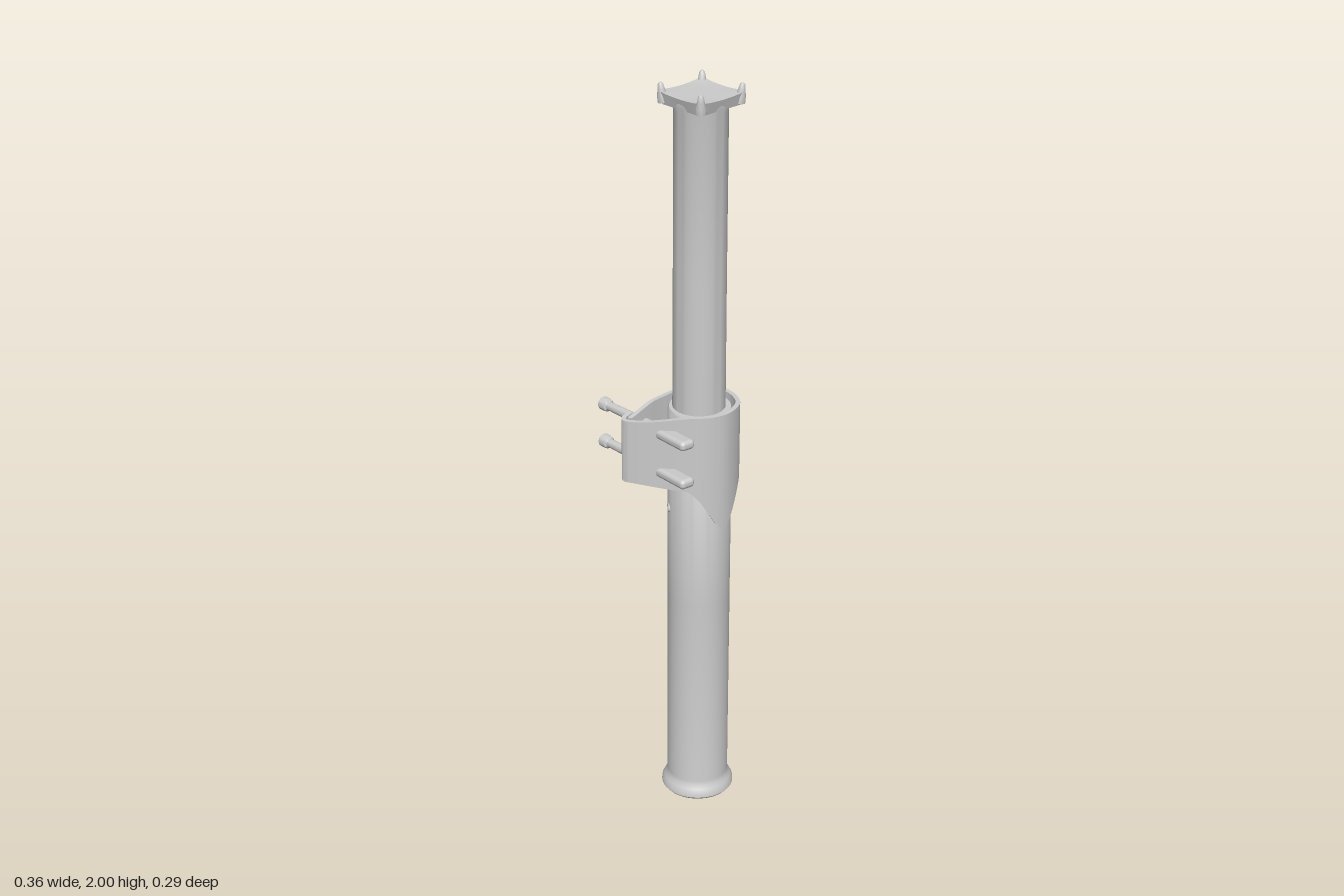
import * as THREE from 'three';
import { toCreasedNormals } from 'three/addons/utils/BufferGeometryUtils.js';
import { RoundedBoxGeometry } from 'three/addons/geometries/RoundedBoxGeometry.js';

const CX = 0.079, CZ = -0.046; // axis of the post
const material = new THREE.MeshStandardMaterial({ color: 0xcccccc });
const doubleSided = new THREE.MeshStandardMaterial({ color: 0xcccccc, side: THREE.DoubleSide });

function add(parent, name, geometry, x = 0, y = 0, z = 0, mat = material) {
  const mesh = new THREE.Mesh(geometry, mat);
  mesh.name = name;
  mesh.position.set(x, y, z);
  parent.add(mesh);
  return mesh;
}

function lathe(profile, segments = 48) {
  const points = profile.map(([r, y]) => new THREE.Vector2(r, y));
  return toCreasedNormals(new THREE.LatheGeometry(points, segments), 0.6);
}

// Smooth 0..1 bump of a given centre and half width
function bump(v, centre, half) {
  const t = Math.max(0, 1 - Math.abs(v - centre) / half);
  return t * t * (3 - 2 * t);
}

// Sheet-metal strap: a rectangular section swept round the post, with hanging tongues
function collarGeometry() {
  const path = [
    [-0.020, 0.102], [-0.018, 0.126], [-0.006, 0.136], [0.02, 0.125], [0.08, 0.085],
    [0.13, 0.042], [0.163, 0.0], [0.174, -0.05], [0.148, -0.113], [0.08, -0.14],
    [0.012, -0.11], [-0.010, -0.05], [-0.010, 0.0], [-0.006, 0.06], [-0.003, 0.122],
  ];
  const curve = new THREE.CatmullRomCurve3(path.map(([x, z]) => new THREE.Vector3(x, 0, z)));
  const n = 160, half = 0.006, rings = [];
  for (let i = 0; i <= n; i++) {
    const p = curve.getPointAt(i / n), t = curve.getTangentAt(i / n);
    const nx = -t.z * half, nz = t.x * half;
    const flap = THREE.MathUtils.smoothstep(p.z, 0.03, 0.14);
    const top = 1.162 - 0.022 * flap;
    let bottom = 0.955 + 0.013 * flap;
    if (p.x > 0.1) bottom -= 0.115 * bump(p.z, -0.035, 0.085);
    if (p.x < 0.03 && i > n / 2) bottom -= 0.085 * bump(p.z, -0.07, 0.03);
    rings.push([
      [p.x + nx, bottom, p.z + nz], [p.x + nx, top, p.z + nz],
      [p.x - nx, top, p.z - nz], [p.x - nx, bottom, p.z - nz],
    ]);
  }
  const positions = [];
  const quad = (a, b, c, d) => [a, b, c, a, c, d].forEach((v) => positions.push(...v));
  for (let i = 0; i < n; i++) {
    for (let k = 0; k < 4; k++) {
      const m = (k + 1) % 4;
      quad(rings[i][k], rings[i + 1][k], rings[i + 1][m], rings[i][m]);
    }
  }
  quad(rings[0][0], rings[0][1], rings[0][2], rings[0][3]);
  quad(rings[n][3], rings[n][2], rings[n][1], rings[n][0]);
  const geometry = new THREE.BufferGeometry();
  geometry.setAttribute('position', new THREE.Float32BufferAttribute(positions, 3));
  // Wind outward: flip if the signed volume is negative
  let volume = 0;
  const a = new THREE.Vector3(), b = new THREE.Vector3(), c = new THREE.Vector3();
  const pos = geometry.attributes.position;
  for (let i = 0; i < pos.count; i += 3) {
    a.fromBufferAttribute(pos, i); b.fromBufferAttribute(pos, i + 1); c.fromBufferAttribute(pos, i + 2);
    volume += a.dot(b.cross(c));
  }
  if (volume < 0) {
    for (let i = 0; i < pos.count; i += 3) {
      b.fromBufferAttribute(pos, i + 1); c.fromBufferAttribute(pos, i + 2);
      pos.setXYZ(i + 1, c.x, c.y, c.z);
      pos.setXYZ(i + 2, b.x, b.y, b.z);
    }
  }
  return toCreasedNormals(geometry, 0.6);
}

// Square head plate with a dished top, slightly hollow sides and a narrower underside
function plateGeometry() {
  const size = 0.155, height = 0.028;
  const geometry = new RoundedBoxGeometry(size, height, size, 6, 0.009);
  const box = new THREE.BoxGeometry(size, height, size, 16, 3, 16);
  geometry.dispose();
  const pos = box.attributes.position;
  for (let i = 0; i < pos.count; i++) {
    const x = pos.getX(i), y = pos.getY(i), z = pos.getZ(i);
    const u = 2 * x / size, v = 2 * z / size;
    const corner = u * u * v * v;
    const taper = 1 - 0.09 * (0.5 - y / height);
    const sx = taper * (1 - 0.035 * (1 - v * v)) * (1 - 0.04 * corner ** 3);
    const sz = taper * (1 - 0.035 * (1 - u * u)) * (1 - 0.04 * corner ** 3);
    pos.setXYZ(i, x * sx, y + (y > 0 ? 0.006 * corner : 0), z * sz);
  }
  return toCreasedNormals(box, 0.6);
}

export function createModel() {
  const model = new THREE.Group();
  model.name = 'telescopicPost';

  // Lower tube with flared, hollow foot
  add(model, 'lowerTube', lathe([
    [0, 0.05], [0.066, 0.05], [0.068, 0.012], [0.078, 0], [0.092, 0], [0.097, 0.006],
    [0.096, 0.016], [0.090, 0.028], [0.084, 0.038], [0.082, 0.05], [0.082, 0.6],
    [0.082, 1.145], [0.079, 1.15], [0.06, 1.15],
  ]), CX, 0, CZ);

  // Upper tube sliding into the lower one
  add(model, 'upperTube', lathe([
    [0.068, 1.1], [0.067, 1.5], [0.067, 1.935], [0.07, 1.95], [0.07, 1.96], [0, 1.96],
  ]), CX - 0.004, 0, CZ);

  // Head plate with four corner prongs leaning outward
  const head = new THREE.Group();
  head.name = 'headPlate';
  head.position.set(0.074, 0, CZ - 0.002);
  model.add(head);
  add(head, 'plate', plateGeometry(), 0, 1.96, 0);
  for (const sx of [-1, 1]) {
    for (const sz of [-1, 1]) {
      const prong = add(head, 'cornerProng', lathe([
        [0, -0.026], [0.013, -0.024], [0.0125, -0.008], [0.009, 0.008], [0.007, 0.02], [0.004, 0.0245], [0, 0.026],
      ], 16), sx * 0.067, 1.974, sz * 0.067);
      prong.rotation.set(sz * 0.1, 0, -sx * 0.1);
    }
  }

  // Clamp strap round the joint
  add(model, 'clampCollar', collarGeometry(), 0, 0, 0, doubleSided);

  // Two clamp bolts: rod, end knob and flat lever
  for (const y of [1.11, 1.003]) {
    const bolt = new THREE.Group();
    bolt.name = 'clampBolt';
    bolt.position.set(0, y, 0.071);
    bolt.rotation.set(0, -0.065, 0.035);
    model.add(bolt);
    const rod = add(bolt, 'rod', lathe([
      [0, -0.18], [0.012, -0.178], [0.0175, -0.172], [0.0175, -0.155], [0.0165, -0.15],
      [0.0115, -0.146], [0.0125, -0.08], [0.0145, -0.02], [0.0145, 0.09], [0, 0.09],
    ], 20));
    rod.rotation.z = -Math.PI / 2;
    const lever = add(bolt, 'lever', new RoundedBoxGeometry(0.118, 0.026, 0.043, 4, 0.011), 0.121, 0, 0.004);
    lever.rotation.y = -0.03;
  }

  // Small rimmed pin holes in the lower tube
  for (const [angle, y] of [[2.06, 0.866], [-1.05, 0.87]]) {
    const dx = Math.cos(angle), dz = Math.sin(angle);
    const rim = add(model, 'pinHole', new THREE.TorusGeometry(0.009, 0.003, 8, 20), CX + dx * 0.082, y, CZ + dz * 0.082);
    rim.rotation.y = Math.atan2(dx, dz);
  }
  return model;
}
